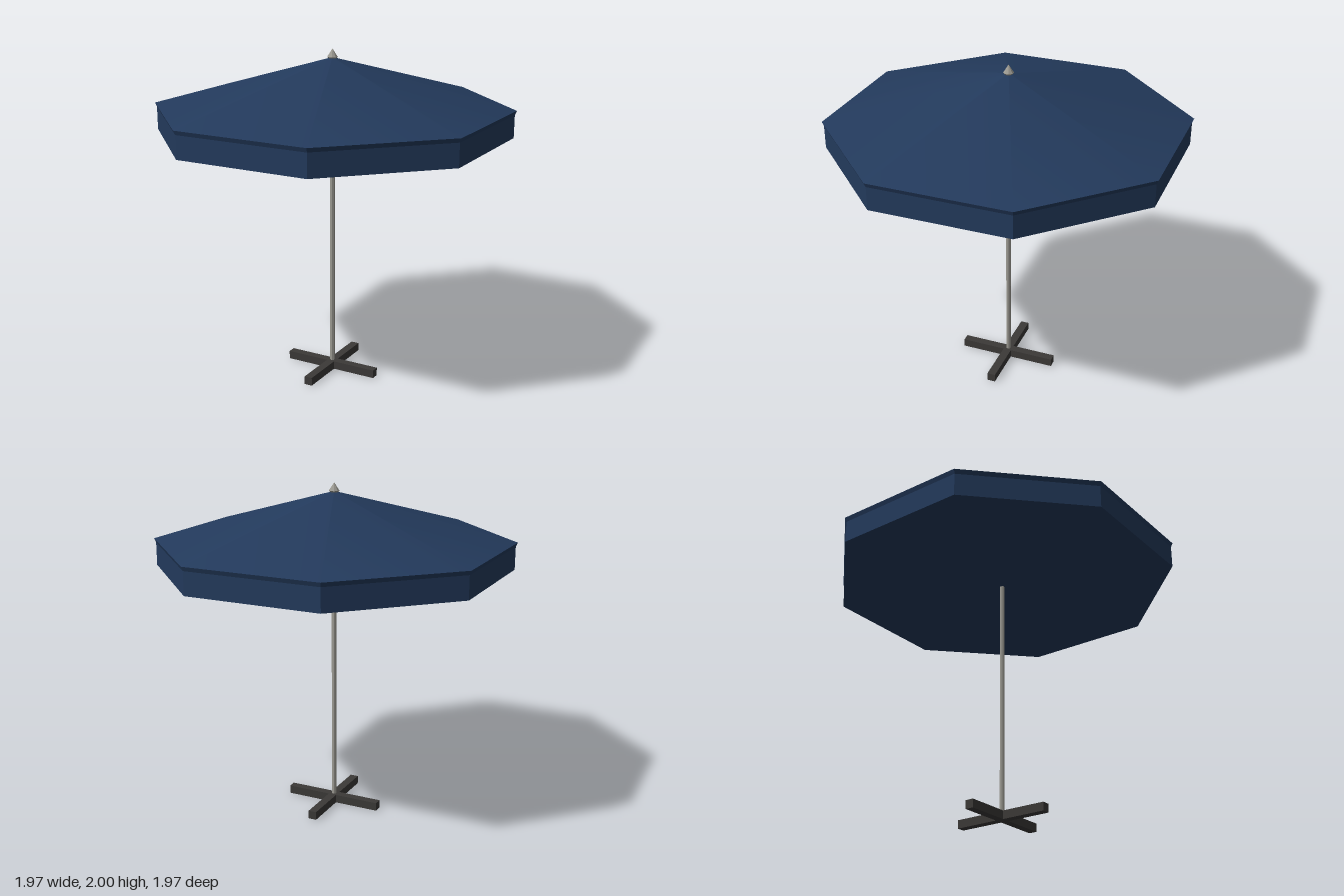
import * as THREE from 'three';

export function createModel() {
  const model = new THREE.Group();
  model.name = 'parasol';

  const navy = new THREE.MeshStandardMaterial({ color: 0x233a5c });
  navy.name = 'navy canvas';
  const navyFlat = navy.clone();
  navyFlat.flatShading = true;
  const metal = new THREE.MeshStandardMaterial({ color: 0x9c9a92, flatShading: true });
  metal.name = 'grey metal';
  const dark = new THREE.MeshStandardMaterial({ color: 0x3b3937 });
  dark.name = 'charcoal base';

  const add = (name, geometry, material) => {
    const mesh = new THREE.Mesh(geometry, material);
    mesh.name = name;
    model.add(mesh);
    return mesh;
  };

  // Octagonal or round tapered section between two heights, a flat side facing front
  const section = (rTop, rBottom, y0, y1, open = false) =>
    new THREE.CylinderGeometry(rTop, rBottom, y1 - y0, 8, 1, open, Math.PI / 8)
      .translate(0, (y0 + y1) / 2, 0);

  // Canopy: sloping roof, undercut eave and hanging valance with a closed underside
  const corner = 1 / Math.cos(Math.PI / 8);
  const eave = 0.985 * corner;
  const skirt = 0.975 * corner;
  add('canopyRoof', section(0, eave, 1.66, 1.95, true), navy);
  add('canopyEave', section(eave, skirt, 1.635, 1.66, true), navyFlat);
  add('canopyValance', section(skirt, skirt, 1.5, 1.64), navyFlat);

  // Finial and pole
  add('finial', section(0, 0.031, 1.952, 2.0), metal);
  add('finialCollar', section(0.031, 0.022, 1.942, 1.952), metal);
  add('pole', section(0.0145, 0.0145, 0.04, 1.945), metal);

  // Crossed feet
  for (const [name, angle] of [['baseBarAcross', 0], ['baseBarAlong', Math.PI / 2]]) {
    const bar = add(name, new THREE.BoxGeometry(0.6, 0.05, 0.05), dark);
    bar.position.y = 0.025;
    bar.rotation.y = angle;
  }

  return model;
}
